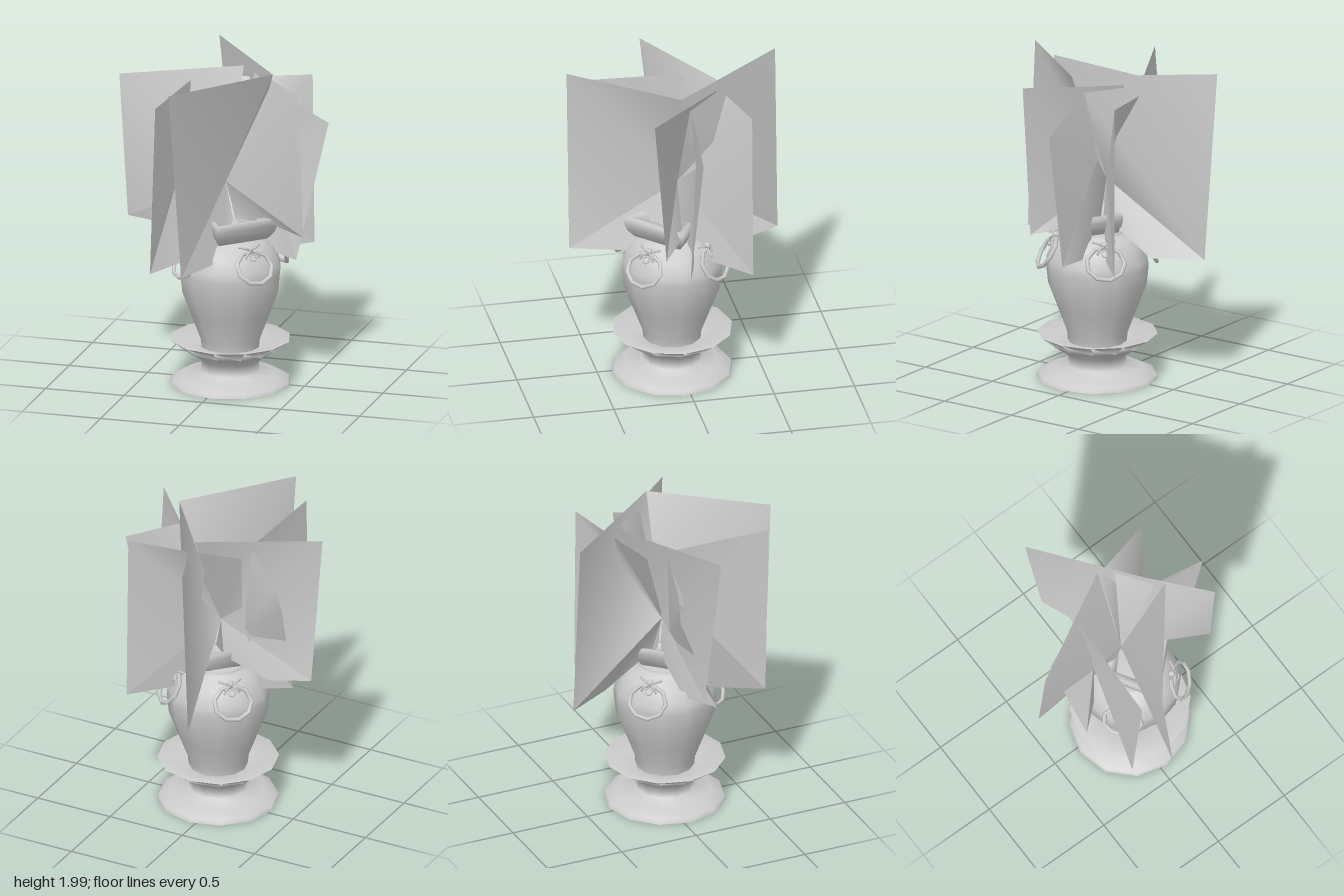
import * as THREE from 'three';

const material = new THREE.MeshStandardMaterial({ color: 0xcccccc, side: THREE.DoubleSide });

function add(parent, name, geometry, x = 0, y = 0, z = 0) {
  const mesh = new THREE.Mesh(geometry, material);
  mesh.name = name;
  mesh.position.set(x, y, z);
  parent.add(mesh);
  return mesh;
}

const lathe = (points, sides = 12) =>
  new THREE.LatheGeometry(points.map(([r, y]) => new THREE.Vector2(r, y)), sides);

function tube(points, radius) {
  const curve = new THREE.CatmullRomCurve3(points.map((p) => new THREE.Vector3(...p)));
  return new THREE.TubeGeometry(curve, 6, radius, 5);
}

// Smooth fan of triangles from the first corner
function fan(corners) {
  const geometry = new THREE.BufferGeometry();
  geometry.setAttribute('position', new THREE.Float32BufferAttribute(corners.flat(), 3));
  const index = [];
  for (let i = 1; i + 1 < corners.length; i++) index.push(0, i, i + 1);
  geometry.setIndex(index);
  geometry.computeVertexNormals();
  return geometry;
}

// Four-cornered rim: corners on the axes, the two rear ones drawn inward
function rimGeometry() {
  const geometry = lathe([
    [0.17, 0.93], [0.235, 0.94], [0.28, 0.985], [0.3, 1.03], [0.298, 1.06],
    [0.28, 1.075], [0.2, 1.06], [0.17, 0.99],
  ], 4);
  const p = geometry.attributes.position;
  for (let i = 0; i < p.count; i++) {
    if (p.getX(i) < -0.01) p.setX(i, p.getX(i) * 0.62);
    if (p.getZ(i) < -0.01) p.setZ(i, p.getZ(i) * 0.64);
  }
  geometry.computeVertexNormals();
  return geometry;
}

// Hanging ring with knob and ribbons, facing +z in its own group
function createHandle() {
  const handle = new THREE.Group();
  handle.name = 'ringHandle';
  const ring = add(handle, 'ring', new THREE.TorusGeometry(0.106, 0.013, 6, 9), 0, -0.097, 0.012);
  ring.scale.x = 1.12;
  add(handle, 'knob', new THREE.SphereGeometry(0.022, 8, 6), 0, 0.02, 0.02);
  add(handle, 'smallRing', new THREE.TorusGeometry(0.022, 0.006, 5, 8), 0, -0.035, 0.025);
  for (const s of [-1, 1]) {
    add(handle, 'upperRibbon', tube([[0, 0.015, 0.02], [s * 0.035, 0.025, 0.03], [s * 0.07, 0.045, 0.01]], 0.008));
    add(handle, 'lowerRibbon', tube([[0, 0.01, 0.02], [s * 0.03, -0.01, 0.03], [s * 0.05, -0.04, 0.015]], 0.008));
  }
  return handle;
}

export function createModel() {
  const model = new THREE.Group();
  model.name = 'urnWithFoliage';

  const urn = new THREE.Group();
  urn.name = 'urn';
  urn.position.set(0.04, 0, 0.04);
  model.add(urn);

  // Pedestal and saucer
  add(urn, 'baseUnderside', lathe([[0, 0.005], [0.375, 0.005]]));
  add(urn, 'pedestal', lathe([
    [0.375, 0.005], [0.365, 0.03], [0.29, 0.065], [0.18, 0.085],
    [0.18, 0.155], [0.27, 0.215], [0.372, 0.29], [0.18, 0.24],
  ]));

  // Body with shoulder and neck
  add(urn, 'body', lathe([
    [0.18, 0.22], [0.185, 0.29], [0.245, 0.45], [0.302, 0.6], [0.315, 0.72], [0.31, 0.77],
    [0.275, 0.86], [0.215, 0.915], [0.17, 0.93], [0.165, 0.95],
  ]));
  add(urn, 'rim', rimGeometry());
  add(urn, 'soil', lathe([[0.165, 0.95], [0, 0.96]]));

  // Four ring handles on the shoulder diagonals
  for (let i = 0; i < 4; i++) {
    const angle = Math.PI / 4 + (i * Math.PI) / 2;
    const handle = createHandle();
    handle.rotation.set(-0.55, angle, 0, 'YXZ');
    handle.position.set(Math.sin(angle) * 0.25, 0.893, Math.cos(angle) * 0.25);
    urn.add(handle);
  }

  // Foliage cards: a blade, then the fold below it
  const foliage = new THREE.Group();
  foliage.name = 'foliage';
  model.add(foliage);
  const crown = [0, 1.27, 0];
  const cards = {
    frontLeaf: {
      blade: [crown, [0.31, 1.99, 0.04], [-0.17, 1.99, 0.655], [-0.09, 0.83, 0.655]],
      fold: [crown, [-0.09, 0.83, 0.655], [0.04, 0.83, 0.22], [0.06, 1.05, 0.05]],
    },
    backLeaf: {
      blade: [[0.31, 1.99, 0.04], [-0.24, 1.99, -0.66], [-0.12, 0.83, -0.65], crown],
      fold: [crown, [-0.12, 0.83, -0.65], [0.04, 0.83, -0.36], [0.05, 1.03, -0.04]],
    },
    leftLeaf: {
      blade: [crown, [0.12, 1.93, -0.22], [0.53, 1.93, 0.25], [0.545, 1.01, 0.18]],
      fold: [crown, [0.545, 1.01, 0.18], [0.3, 1.03, 0.03], [0.06, 1.04, 0]],
    },
    rightLeaf: {
      blade: [crown, [0.03, 1.93, -0.28], [-0.65, 1.93, 0.1], [-0.625, 1, 0]],
      fold: [crown, [-0.625, 1, 0], [-0.35, 0.95, -0.04], [-0.03, 1.03, -0.02]],
    },
    backLeftLeaf: {
      blade: [crown, [0.06, 1.86, -0.29], [0.44, 1.88, -0.375], [0.45, 0.81, -0.38]],
      fold: [crown, [0.45, 0.81, -0.38], [0.2, 0.82, -0.13], [0.06, 1.03, -0.02]],
    },
    frontRightLeaf: {
      blade: [[-0.24, 1.5, 0], [-0.25, 1.87, -0.08], [-0.275, 1.88, 0.59], [-0.32, 0.81, 0.55]],
      fold: [[-0.24, 1.5, 0], [-0.32, 0.81, 0.55], [-0.19, 0.82, 0.27], [-0.07, 1.02, 0.04], [-0.19, 1.27, 0.04]],
    },
    sideLeaf: {
      blade: [[0.2, 1.45, -0.075], [0.27, 1.88, -0.03], [0.645, 1.69, -0.03], [0.45, 0.81, 0.01]],
      fold: [[0.2, 1.45, -0.075], [0.45, 0.81, 0.01], [0.3, 0.83, -0.04], [0.06, 1.03, 0], crown],
    },
    lowRightLeaf: {
      blade: [[-0.18, 1.27, -0.03], [-0.25, 1.87, -0.08], [-0.42, 1.64, -0.08], [-0.47, 1.48, -0.09], [-0.4, 0.8, 0.19]],
      fold: [[-0.18, 1.27, -0.03], [-0.4, 0.8, 0.19], [-0.25, 0.82, 0.06]],
    },
    innerLeaf: {
      blade: [crown, [0.06, 1.86, -0.29], [-0.26, 1.86, -0.22], [-0.2, 1.45, -0.1]],
    },
  };
  for (const [name, parts] of Object.entries(cards)) {
    const leaf = new THREE.Group();
    leaf.name = name;
    for (const [part, corners] of Object.entries(parts)) add(leaf, part, fan(corners));
    foliage.add(leaf);
  }
  return model;
}
